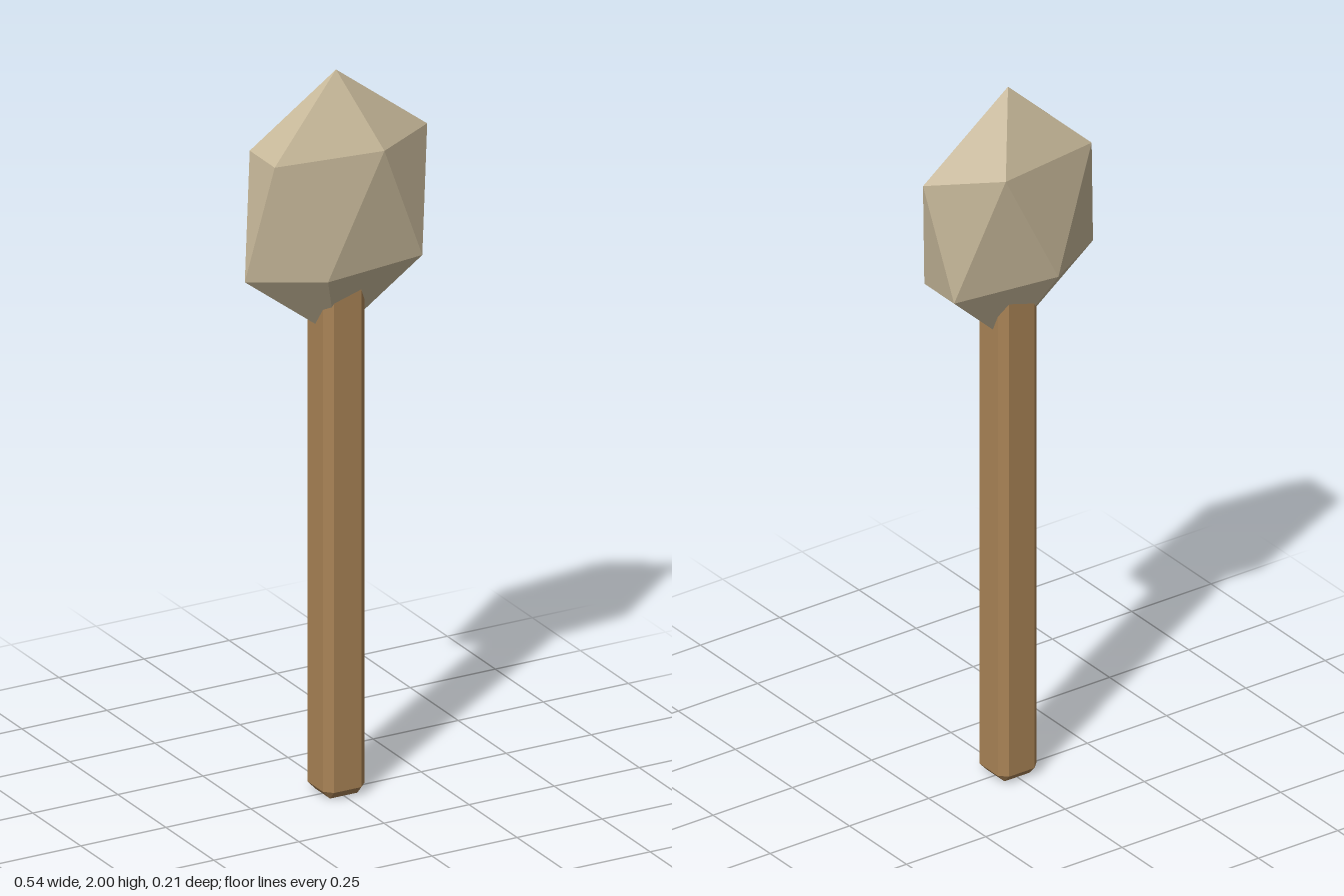
import * as THREE from 'three';
import { ConvexGeometry } from 'three/addons/geometries/ConvexGeometry.js';

export function createModel() {
  const group = new THREE.Group();
  const stone = new THREE.MeshStandardMaterial({ color: 0xc9ba9b });
  stone.name = 'stone';
  const wood = new THREE.MeshStandardMaterial({ color: 0xaa8456 });
  wood.name = 'wood';

  const addPart = (name, points, material) => {
    const mesh = new THREE.Mesh(new ConvexGeometry(points), material);
    mesh.name = name;
    group.add(mesh);
  };

  // Stone head: a stretched, flattened icosahedron standing on one point
  const centre = 1.63, tip = 0.37, ringY = 0.1655, rx = 0.268, rz = 0.111;
  const head = [
    new THREE.Vector3(0, centre + tip, 0),
    new THREE.Vector3(0, centre - tip, 0),
  ];
  for (let i = 0; i < 5; i++) {
    const a = (i / 5) * Math.PI * 2;
    const x = rx * Math.cos(a), z = rz * Math.sin(a);
    head.push(new THREE.Vector3(x, centre + ringY, z));
    head.push(new THREE.Vector3(-x, centre - ringY, z));
  }
  addPart('stoneHead', head, stone);

  // Wooden handle: a square post with every edge bevelled, its top set inside the head
  const half = 0.061, inner = 0.04, bevel = 0.023, top = 1.5;
  const handle = [];
  for (const sx of [-1, 1]) {
    for (const sz of [-1, 1]) {
      for (const [end, ring] of [[0, bevel], [top, top - bevel]]) {
        handle.push(new THREE.Vector3(sx * inner, end, sz * inner));
        handle.push(new THREE.Vector3(sx * half, ring, sz * inner));
        handle.push(new THREE.Vector3(sx * inner, ring, sz * half));
      }
    }
  }
  addPart('handle', handle, wood);

  return group;
}
